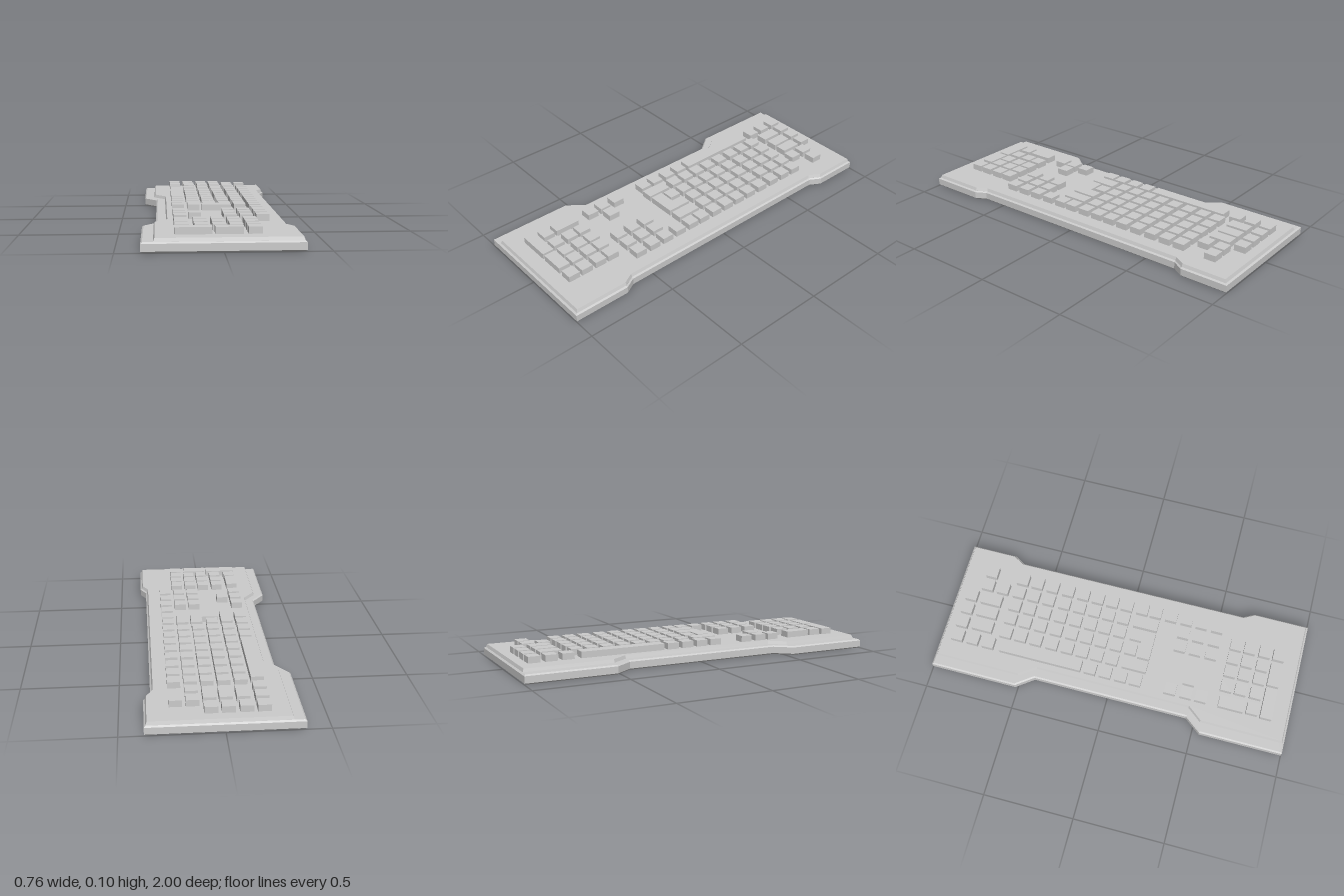
import * as THREE from 'three';

const material = new THREE.MeshStandardMaterial({ color: 0xcccccc, flatShading: true });
const KEY = 0.065, DECK = 0.067, KEY_TOP = 0.101;

// Extrudes an outline of [x, z] points upward from y0
function slab(name, points, y0, depth, bevelThickness, bevelSize) {
  const shape = new THREE.Shape(points.map(([x, z]) => new THREE.Vector2(x, -z)));
  const geometry = new THREE.ExtrudeGeometry(shape, {
    depth, bevelThickness, bevelSize, bevelOffset: -bevelSize,
    bevelEnabled: bevelThickness > 0, bevelSegments: 1,
  });
  geometry.rotateX(-Math.PI / 2);
  geometry.translate(0, y0 + bevelThickness, 0);
  const mesh = new THREE.Mesh(geometry, material);
  mesh.name = name;
  return mesh;
}

export function createModel() {
  const model = new THREE.Group();
  model.name = 'keyboard';

  // Lower case with chamfered edges and stepped long sides
  model.add(slab('caseBase', [
    [-0.38, 1], [0.38, 1], [0.38, 0.69], [0.348, 0.63], [0.345, -0.68], [0.38, -0.74],
    [0.38, -1], [-0.38, -1], [-0.38, -0.515], [-0.31, -0.42], [-0.31, 0.45], [-0.38, 0.54],
  ], 0, 0.036, 0.007, 0.008));

  // Raised deck, set back along one long side; its lower bevel sinks into the case
  model.add(slab('deck', [
    [-0.322, 0.99], [0.372, 0.99], [0.372, 0.69], [0.34, 0.63], [0.337, -0.68], [0.372, -0.74],
    [0.372, -0.99], [-0.322, -0.99], [-0.322, -0.51], [-0.258, -0.42], [-0.258, 0.45], [-0.322, 0.53],
  ], 0.02, 0.013, 0.017, 0.006));

  const keys = new THREE.Group();
  keys.name = 'keys';
  model.add(keys);
  const key = (name, x, z, width = KEY, length = KEY) => {
    const mesh = new THREE.Mesh(new THREE.BoxGeometry(width, KEY_TOP - DECK + 0.004, length), material);
    mesh.position.set(x, (KEY_TOP + DECK - 0.004) / 2, z);
    mesh.name = name;
    keys.add(mesh);
  };
  const grid = (name, xs, zs) => xs.forEach((x) => zs.forEach((z) => key(name, x, z)));

  // Main block
  grid('mainKey', [-0.106, -0.02, 0.063, 0.146, 0.228],
    [-0.643, -0.556, -0.466, -0.373, -0.283, -0.196, -0.111, -0.024]);
  key('spaceBar', -0.19, -0.415, KEY, 0.47);
  grid('bottomRowKey', [-0.19], [-0.9, -0.81, -0.72, -0.127, -0.04, 0.048, 0.132]);
  grid('edgeKey', [-0.106, -0.02, 0.063], [-0.9]);
  [-0.1, -0.016, 0.063].forEach((x) => key('wideEdgeKey', x, -0.783, KEY, 0.117));
  grid('edgeKey', [0.146], [-0.828, -0.738]);
  grid('cornerKey', [0.228], [-0.828]);
  key('shiftKey', -0.106, 0.106, KEY, 0.138);
  key('letterKey', -0.022, 0.061);
  key('backspaceKey', 0.146, 0.106, KEY, 0.138);
  grid('functionKey', [0.228], [0.066, 0.145, 0.235]);

  // L-shaped enter key
  keys.add(slab('enterKey', [
    [-0.061, 0.175], [0.098, 0.175], [0.098, 0.037], [0.034, 0.037], [0.034, 0.106], [-0.061, 0.106],
  ], DECK - 0.004, KEY_TOP - DECK + 0.004, 0, 0));

  // Arrow and navigation clusters
  grid('arrowKey', [-0.19], [0.33, 0.42, 0.503]);
  key('arrowKey', -0.112, 0.42);
  grid('navigationKey', [0.066, 0.147, 0.23], [0.325, 0.413, 0.503]);

  // Number pad
  grid('numberPadKey', [-0.095, -0.008, 0.071, 0.153], [0.627, 0.706, 0.791]);
  key('padEnterKey', -0.19, 0.673, KEY, 0.14);
  key('numberPadKey', -0.187, 0.791);
  key('padZeroKey', -0.136, 0.87, 0.177);
  key('padPlusKey', 0.032, 0.87, 0.132);
  key('numberPadKey', 0.153, 0.87);

  return model;
}
